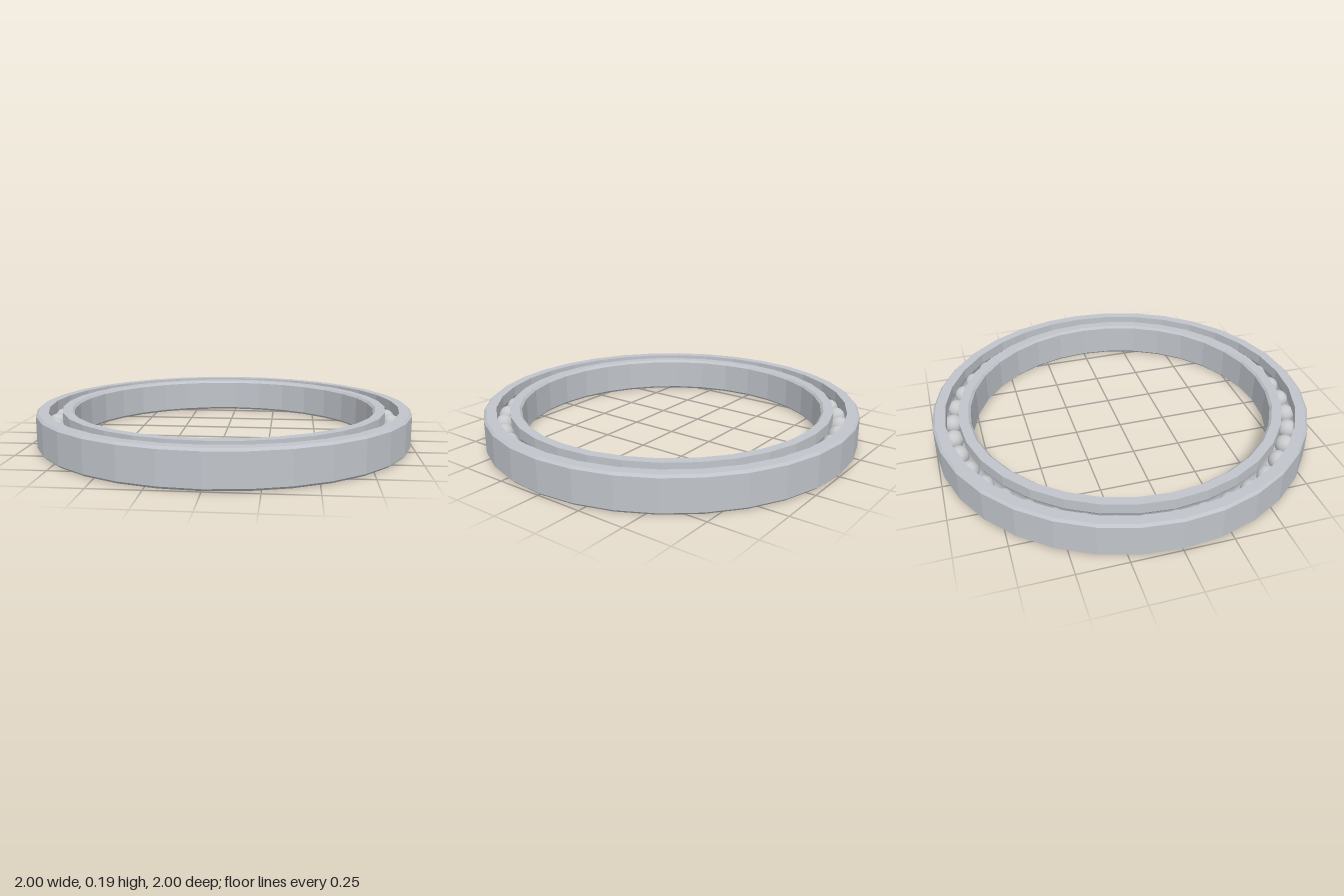
import * as THREE from 'three';

const H = 0.187;        // ring height
const MID = H / 2;      // ball centre height
const PITCH = 0.9;      // ball circle radius
const BALL = 0.05;
const SEGMENTS = 32;
const BALLS = 40;

// Ball groove cut into a race: side +1 bulges outward, -1 inward; runs from top to bottom
function groove(side) {
  const r = BALL + 0.002, gap = 0.035;
  const limit = Math.acos(gap / r);
  const points = [];
  for (let i = 0; i <= 8; i++) {
    const a = limit * (1 - i / 4);
    points.push([PITCH + side * r * Math.cos(a), MID + r * Math.sin(a)]);
  }
  return points;
}

function race(name, profile, material) {
  const points = [...profile, profile[0]].map(([x, y]) => new THREE.Vector2(x, y));
  const mesh = new THREE.Mesh(new THREE.LatheGeometry(points, SEGMENTS), material);
  mesh.name = name;
  return mesh;
}

export function createModel() {
  const group = new THREE.Group();
  group.name = 'ballBearing';
  const steel = new THREE.MeshStandardMaterial({ color: 0xc0c4ca });
  steel.name = 'steel';
  steel.flatShading = true;
  const ballSteel = new THREE.MeshStandardMaterial({ color: 0xc6c8ca });
  ballSteel.name = 'polished steel';

  // Outer race, chamfered on its outside edges
  const c = 0.012;
  group.add(race('outerRace', [
    [1 - c, 0], [1, c], [1, H - c], [1 - c, H],
    [0.935, H], ...groove(1), [0.935, 0],
  ], steel));

  // Inner race, chamfered on its bore edges
  group.add(race('innerRace', [
    [0.865, 0], ...groove(-1).reverse(), [0.865, H],
    [0.803 + c, H], [0.803, H - c], [0.803, c], [0.803 + c, 0],
  ], steel));

  // Ring of balls
  const balls = new THREE.Group();
  balls.name = 'balls';
  const sphere = new THREE.SphereGeometry(BALL, 20, 14);
  for (let i = 0; i < BALLS; i++) {
    const a = (i / BALLS) * Math.PI * 2;
    const ball = new THREE.Mesh(sphere, ballSteel);
    ball.name = 'ball';
    ball.position.set(PITCH * Math.cos(a), MID, PITCH * Math.sin(a));
    balls.add(ball);
  }
  group.add(balls);
  return group;
}
